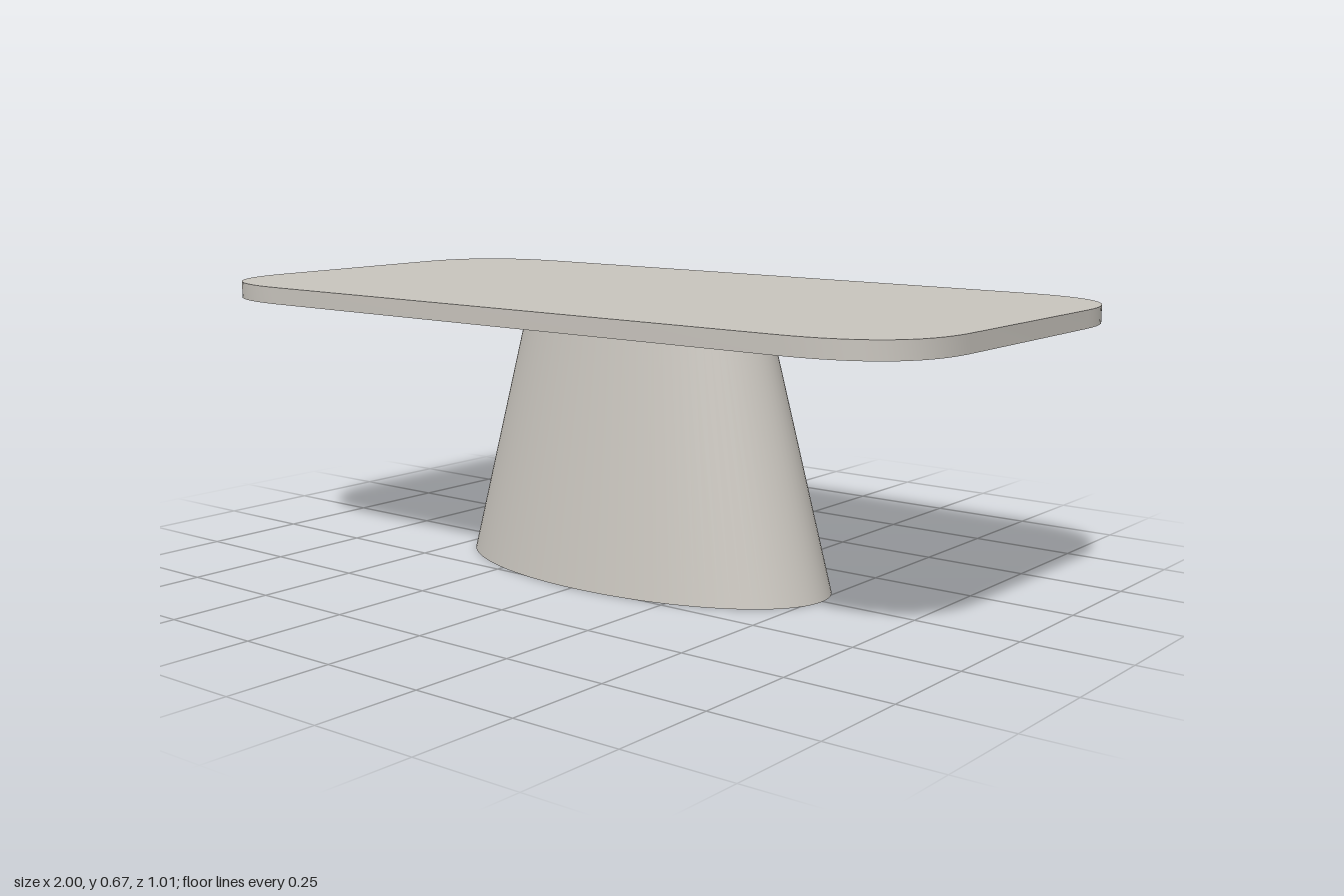
import * as THREE from 'three';
import { toCreasedNormals } from 'three/addons/utils/BufferGeometryUtils.js';

export function createModel() {
  const model = new THREE.Group();
  const stone = new THREE.MeshStandardMaterial({ color: 0xc8c4bd });
  stone.name = 'warm grey stone';

  // Tabletop: rectangle with soft, gradually tightening corners
  const w = 1, d = 0.505, cx = 0.28, cz = 0.25;
  const outline = new THREE.Shape();
  outline.moveTo(-w + cx, -d);
  outline.lineTo(w - cx, -d);
  outline.quadraticCurveTo(w, -d, w, -d + cz);
  outline.lineTo(w, d - cz);
  outline.quadraticCurveTo(w, d, w - cx, d);
  outline.lineTo(-w + cx, d);
  outline.quadraticCurveTo(-w, d, -w, d - cz);
  outline.lineTo(-w, -d + cz);
  outline.quadraticCurveTo(-w, -d, -w + cx, -d);
  const slab = new THREE.ExtrudeGeometry(outline, { depth: 0.04, bevelEnabled: false, curveSegments: 16 });
  slab.rotateX(-Math.PI / 2);
  const tabletop = new THREE.Mesh(toCreasedNormals(slab, 0.6), stone);
  tabletop.name = 'tabletop';
  tabletop.position.y = 0.628;
  model.add(tabletop);

  // Pedestal: tapered oval column
  const column = new THREE.CylinderGeometry(0.66, 1, 0.628, 96);
  column.scale(0.507, 1, 0.262);
  const pedestal = new THREE.Mesh(column, stone);
  pedestal.name = 'pedestal';
  pedestal.position.set(0.008, 0.314, 0.006);
  model.add(pedestal);

  return model;
}
